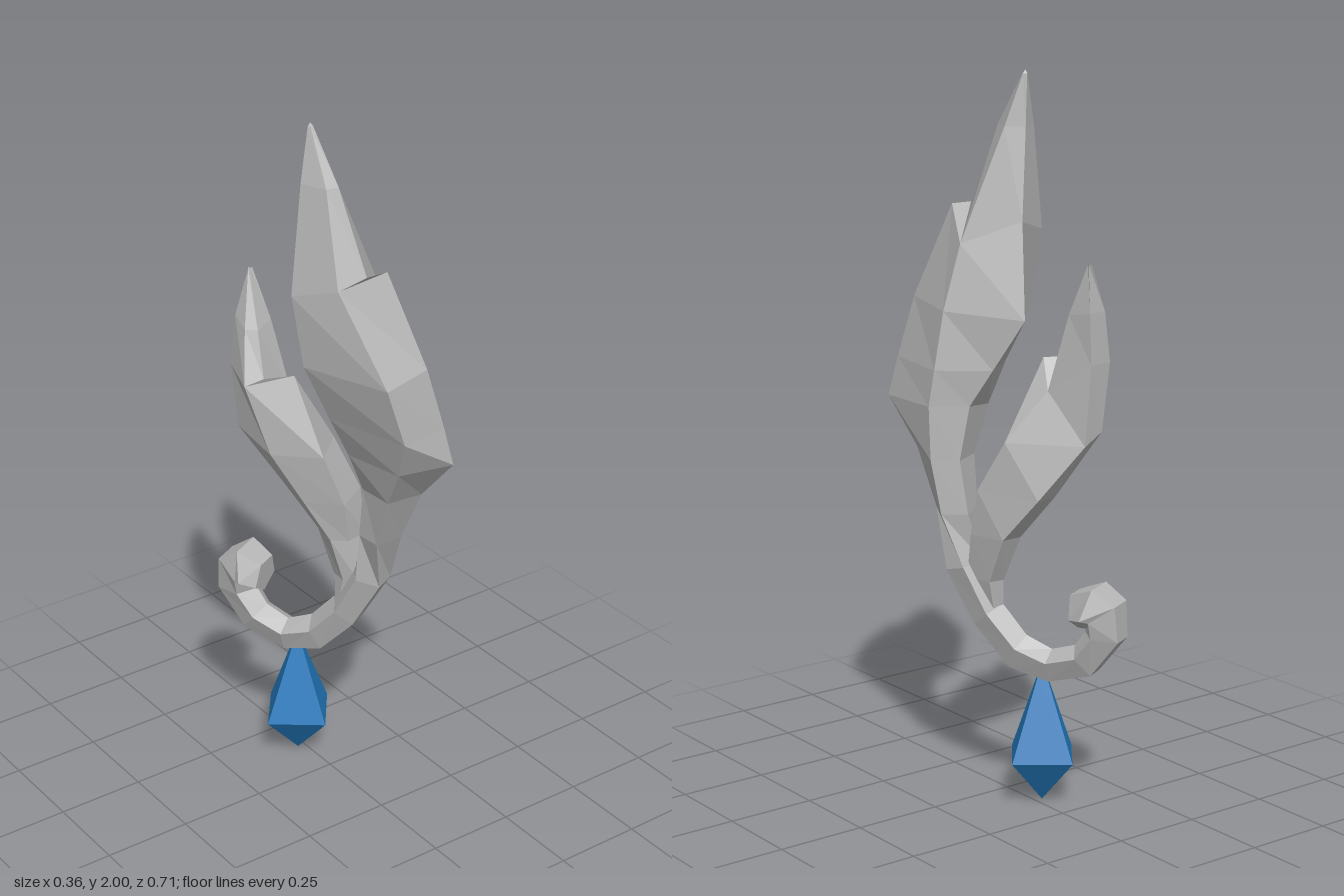
import * as THREE from 'three';

const stone = new THREE.MeshStandardMaterial({ color: 0xb6b6b6, flatShading: true });
stone.name = 'pale grey';
const blue = new THREE.MeshStandardMaterial({ color: 0x2379bc, flatShading: true });
blue.name = 'gem blue';

// Faceted skin over rings that run from the tip downwards, closed at the end
function loft(name, rings, material) {
  const out = [];
  const v = (p) => new THREE.Vector3(...p);
  const tri = (a, b, c) => {
    const area = v(b).sub(v(a)).cross(v(c).sub(v(a))).length();
    if (area > 1e-7) out.push(...a, ...b, ...c);
  };
  const n = rings[0].length;
  for (let i = 0; i < rings.length - 1; i++) {
    for (let j = 0; j < n; j++) {
      const k = (j + 1) % n;
      tri(rings[i][j], rings[i + 1][j], rings[i + 1][k]);
      tri(rings[i][j], rings[i + 1][k], rings[i][k]);
    }
  }
  const end = rings[rings.length - 1];
  const mid = [0, 1, 2].map((c) => end.reduce((s, p) => s + p[c], 0) / n);
  for (let j = 0; j < n; j++) tri(mid, end[(j + 1) % n], end[j]);
  const geo = new THREE.BufferGeometry();
  geo.setAttribute('position', new THREE.Float32BufferAttribute(out, 3));
  geo.computeVertexNormals();
  const mesh = new THREE.Mesh(geo, material);
  mesh.name = name;
  return mesh;
}

// Small blunt end, five corners
const tip = (x, y, z, r = 0.008) => [[-1, 0], [-0.5, 1], [0.5, 1], [1, 0], [0, -1]].map(([a, b]) => [x + a * r, y, z + b * r]);

// Ring of the curling stem; the angle turns its outer side from front to below to back
function stemRing([x, y, z, degrees, w, d]) {
  const a = THREE.MathUtils.degToRad(degrees);
  const hx = 0.45, hz = 0.893;
  const o = [hx * Math.cos(a), -Math.sin(a), hz * Math.cos(a)];
  const s = [hz, 0, -hx];
  return [[-1, -0.3], [-0.6, 1], [0.6, 1], [1, -0.3], [0, -1]].map(([p, q]) =>
    [x, y, z].map((c, i) => c + s[i] * p * w + o[i] * q * d));
}

export function createModel() {
  const group = new THREE.Group();
  group.name = 'leafOrnament';

  // Large leaf: corners run left, front left, front right, right, back
  const shelf = [[-0.172, 1.56, 0.068], [-0.112, 1.6, 0.19], [-0.04, 1.63, 0.215], [0.09, 1.54, 0.09], [-0.04, 1.6, -0.015]];
  const shelfLow = shelf.map((p, i) => (i === 2 ? [0.025, 1.63, 0.215] : p));
  const bigLeaf = [
    tip(-0.08, 2, 0.025, 0),
    tip(-0.08, 1.99, 0.025),
    [[-0.125, 1.85, 0.045], [-0.095, 1.85, 0.115], [-0.06, 1.85, 0.12], [-0.025, 1.85, 0.045], [-0.07, 1.85, 0.01]],
    shelf,
    shelfLow,
    [[-0.15, 1.36, 0.09], [-0.062, 1.36, 0.337], [0.09, 1.37, 0.305], [0.14, 1.36, 0.1], [-0.01, 1.34, -0.065]],
    [[-0.085, 1.2, 0.115], [-0.018, 1.2, 0.355], [0.13, 1.2, 0.33], [0.168, 1.2, 0.105], [0.045, 1.2, 0.005]],
    [[-0.03, 1.08, 0.125], [0.005, 1.08, 0.3], [0.15, 1.09, 0.348], [0.18, 1.1, 0.115], [0.09, 1.1, 0.05]],
    [[0.03, 0.95, 0.11], [0.025, 0.96, 0.23], [0.13, 0.96, 0.24], [0.178, 0.95, 0.11], [0.115, 0.95, 0.062]],
    [[0.03, 0.8, 0.095], [0.035, 0.8, 0.168], [0.115, 0.8, 0.172], [0.158, 0.8, 0.09], [0.1, 0.8, 0.045]],
  ];
  // Stem and rolled knob, continuing the large leaf
  const stem = [
    [0.08, 0.65, 0.075, 15, 0.056, 0.05],
    [0.048, 0.52, 0.01, 40, 0.052, 0.047],
    [0.008, 0.425, -0.068, 65, 0.048, 0.049],
    [-0.04, 0.395, -0.15, 90, 0.047, 0.043],
    [-0.08, 0.425, -0.242, 130, 0.05, 0.047],
    [-0.103, 0.5, -0.296, 175, 0.055, 0.055],
    [-0.103, 0.56, -0.292, 215, 0.067, 0.062],
    [-0.088, 0.575, -0.266, 255, 0.082, 0.065],
    [-0.072, 0.56, -0.215, 275, 0.056, 0.05],
  ].map(stemRing);
  group.add(loft('largeLeafAndStem', [...bigLeaf, ...stem], stone));

  // Small leaf: corners run left, front, right, back right, back left
  const notch = [[-0.183, 1.22, -0.14], [-0.137, 1.24, -0.115], [-0.03, 1.16, -0.14], [-0.085, 1.24, -0.255], [-0.155, 1.24, -0.248]];
  const notchLow = notch.map((p, i) => (i === 1 ? [-0.058, 1.24, -0.085] : p));
  group.add(loft('smallLeaf', [
    tip(-0.088, 1.51, -0.245, 0.006),
    [[-0.145, 1.36, -0.19], [-0.12, 1.36, -0.165], [-0.06, 1.37, -0.19], [-0.08, 1.38, -0.255], [-0.135, 1.38, -0.25]],
    notch,
    notchLow,
    [[-0.135, 1.02, -0.09], [-0.03, 1.02, 0.012], [0.07, 1.02, -0.08], [-0.07, 1.02, -0.25], [-0.14, 1.05, -0.235]],
    [[-0.06, 0.87, -0.04], [0.02, 0.87, 0.04], [0.11, 0.88, -0.01], [0.03, 0.87, -0.175], [-0.04, 0.87, -0.16]],
    [[0, 0.75, 0], [0.04, 0.75, 0.035], [0.11, 0.75, 0.02], [0.08, 0.75, -0.085], [0.015, 0.75, -0.08]],
    [[0.03, 0.62, 0.02], [0.06, 0.62, 0.06], [0.1, 0.62, 0.05], [0.08, 0.62, -0.025], [0.035, 0.62, -0.03]],
    [[0.02, 0.5, 0], [0.04, 0.5, 0.02], [0.06, 0.5, 0.01], [0.055, 0.5, -0.02], [0.03, 0.5, -0.02]],
  ], stone));

  // Hanging four-sided gem
  const profile = [[0, 0], [0.117, 0.13], [0.018, 0.36], [0, 0.375]].map((p) => new THREE.Vector2(...p));
  const gem = new THREE.Mesh(new THREE.LatheGeometry(profile, 4), blue);
  gem.name = 'gemPendant';
  gem.position.set(-0.022, 0, -0.13);
  gem.rotation.y = 0.13;
  group.add(gem);

  return group;
}
